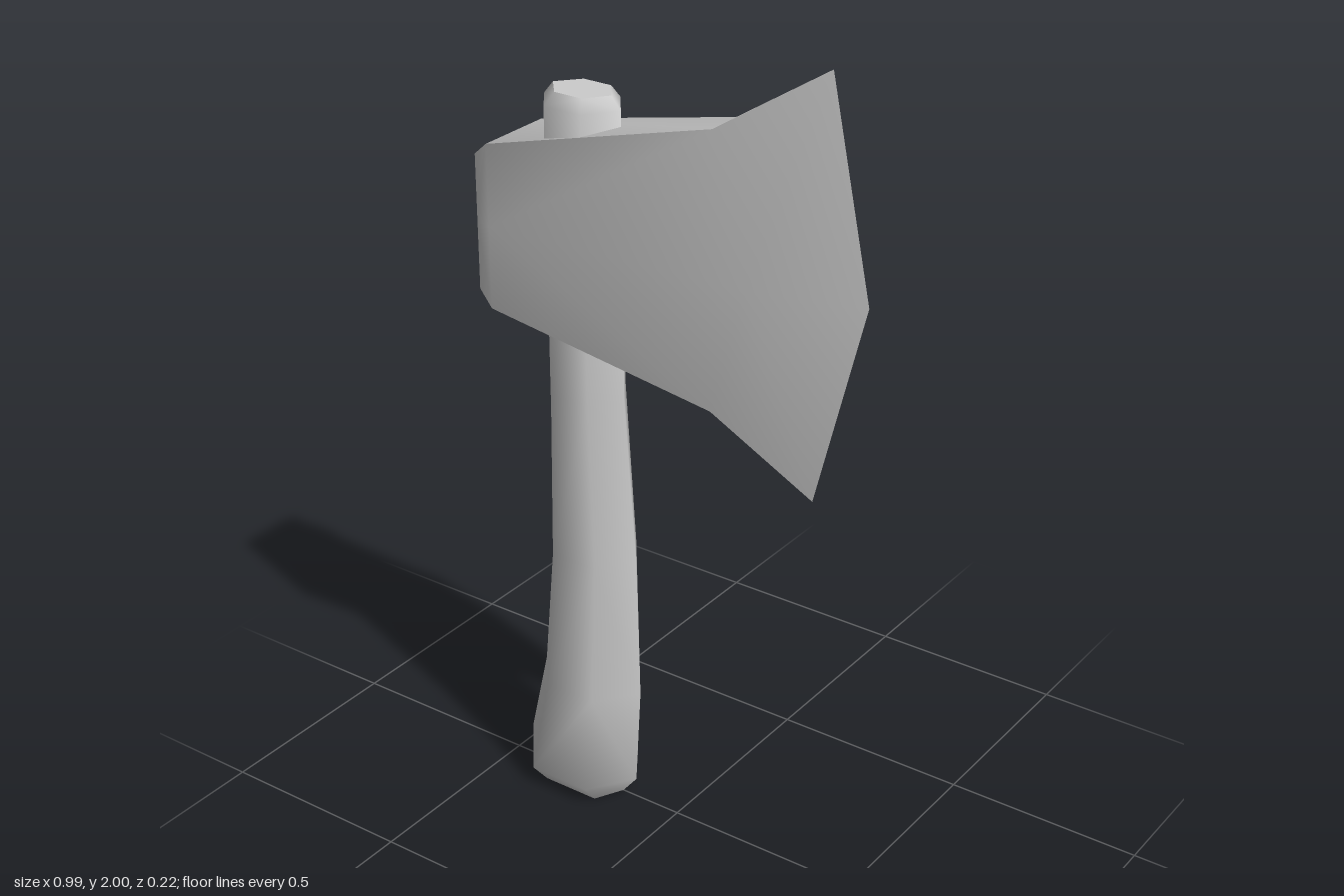
import * as THREE from 'three';
import { toCreasedNormals, mergeGeometries } from 'three/addons/utils/BufferGeometryUtils.js';

function triangles(tris) {
  const pos = [];
  for (const [a, b, c] of tris) {
    const tri = new THREE.Triangle(...[a, b, c].map(p => new THREE.Vector3(...p)));
    if (tri.getArea() > 1e-7) pos.push(...a, ...b, ...c);
  }
  const g = new THREE.BufferGeometry();
  g.setAttribute('position', new THREE.Float32BufferAttribute(pos, 3));
  return g;
}

// Skin six-point rings, keeping the diagonals mirrored in z; the end caps stay flat
function loft(rings, crease, capEnd) {
  const sides = [];
  for (let i = 0; i < rings.length - 1; i++) {
    for (let j = 0; j < 6; j++) {
      const k = (j + 1) % 6;
      const a0 = rings[i][j], a1 = rings[i][k], b0 = rings[i + 1][j], b1 = rings[i + 1][k];
      if (j % 3 === 2) sides.push([a0, a1, b0], [a1, b1, b0]);
      else sides.push([a0, a1, b1], [a0, b1, b0]);
    }
  }
  const caps = [];
  const first = rings[0], last = rings[rings.length - 1];
  for (let j = 1; j < 5; j++) {
    caps.push([first[0], first[j + 1], first[j]]);
    if (capEnd) caps.push([last[0], last[j], last[j + 1]]);
  }
  return mergeGeometries([
    toCreasedNormals(triangles(sides), crease),
    toCreasedNormals(triangles(caps), 0.6),
  ]);
}

// Hexagonal handle section: left point, front flat, right point, back flat
const handleRing = (xl, yl, fl, fr, y, xr, yr, hz) => [
  [xl, yl, 0], [fl, y, hz], [fr, y, hz], [xr, yr, 0], [fr, y, -hz], [fl, y, -hz],
];

// Head section: top, middle and bottom points, each [x, y, half thickness]
const headRing = (top, mid, bot) => {
  const back = ([x, y, z]) => [x, y, -z];
  return [back(mid), back(top), top, mid, bot, back(bot)];
};

export function createModel() {
  const group = new THREE.Group();
  const material = new THREE.MeshStandardMaterial({ color: 0xcccccc });
  const add = (name, geometry) => {
    const mesh = new THREE.Mesh(geometry, material);
    mesh.name = name;
    group.add(mesh);
  };

  // Curved handle with a flared, bevelled foot and a bevelled top
  add('handle', loft([
    handleRing(-0.405, 0.03, -0.35, -0.2, 0.003, -0.165, 0, 0.075),
    handleRing(-0.45, 0.09, -0.365, -0.2, 0.05, -0.125, 0.05, 0.11),
    handleRing(-0.4, 0.31, -0.32, -0.185, 0.31, -0.11, 0.31, 0.098),
    handleRing(-0.365, 0.68, -0.305, -0.18, 0.68, -0.12, 0.68, 0.083),
    handleRing(-0.365, 1.1, -0.305, -0.2, 1.1, -0.15, 1.1, 0.074),
    handleRing(-0.36, 1.8, -0.305, -0.205, 1.8, -0.15, 1.8, 0.073),
    handleRing(-0.335, 1.83, -0.29, -0.215, 1.83, -0.175, 1.83, 0.053),
  ], 1.45, true));

  // Axe head: bevelled butt, flaring cheeks, pointed cutting edge
  add('axeHead', loft([
    headRing([-0.5, 1.65, 0.08], [-0.5, 1.49, 0.08], [-0.5, 1.32, 0.08]),
    headRing([-0.45, 1.69, 0.1], [-0.45, 1.49, 0.1], [-0.45, 1.29, 0.1]),
    headRing([0.12, 1.83, 0.045], [0.23, 1.5, 0.078], [0.12, 1.17, 0.045]),
    headRing([0.385, 2, 0], [0.49, 1.5, 0], [0.365, 1, 0]),
  ], 0.6, false));

  return group;
}
